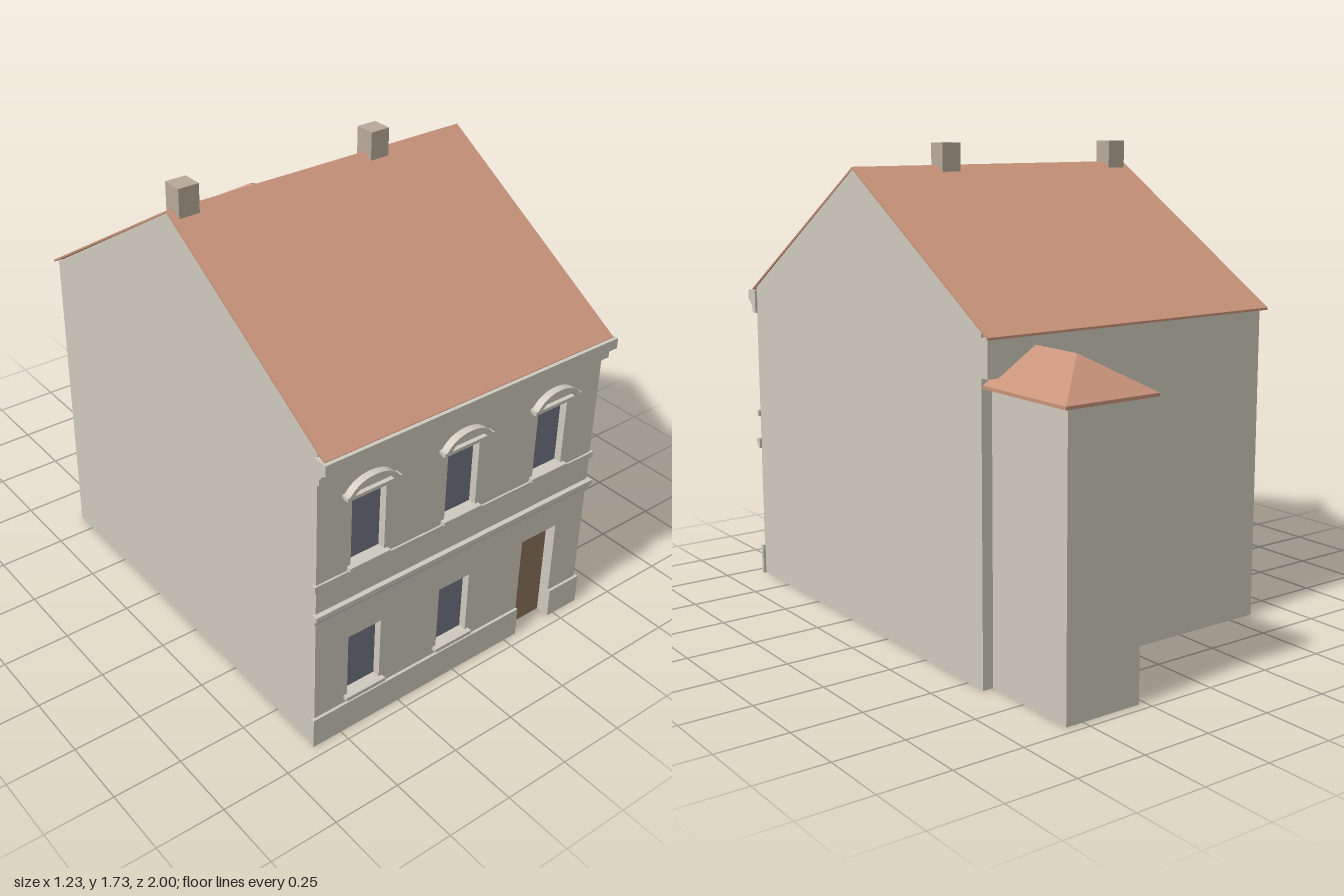
import * as THREE from 'three';

const material = (name, color) => {
  const m = new THREE.MeshStandardMaterial({ color });
  m.name = name;
  return m;
};

export function createModel() {
  const house = new THREE.Group();
  house.name = 'townHouse';
  const wall = material('stone render', 0xd0cabe);
  const tile = material('roof tile', 0xc8937a);
  const brick = material('chimney brick', 0xb8aa99);
  const glass = material('window glass', 0x727784);
  const wood = material('door wood', 0x8c755c);

  const add = (name, geometry, mat, parent = house) => {
    const mesh = new THREE.Mesh(geometry, mat);
    mesh.name = name;
    parent.add(mesh);
    return mesh;
  };
  // box given by its limits on each axis
  const box = (name, [x0, x1], [y0, y1], [z0, z1], mat, parent) => {
    const g = new THREE.BoxGeometry(x1 - x0, y1 - y0, z1 - z0);
    g.translate((x0 + x1) / 2, (y0 + y1) / 2, (z0 + z1) / 2);
    return add(name, g, mat, parent);
  };
  const outline = (pts) => new THREE.Shape(pts.map(([a, b]) => new THREE.Vector2(a, b)));
  const rect = (x0, x1, y0, y1) => outline([[x0, y0], [x1, y0], [x1, y1], [x0, y1]]);
  // (z, y) profile drawn out sideways to x = +-half
  const alongX = (name, profile, half, mat) => {
    const g = new THREE.ExtrudeGeometry(outline(profile), { depth: half * 2, bevelEnabled: false });
    g.translate(0, 0, -half);
    g.rotateY(-Math.PI / 2);
    return add(name, g, mat);
  };

  const W = 0.605, FRONT = 0.95;
  const columns = [-0.402, -0.012, 0.388];
  const door = { x0: 0.306, x1: 0.47, top: 0.41 };
  const windows = [];
  columns.forEach((x, i) => {
    windows.push({ x, y0: 0.687, y1: 0.935, hood: true });
    if (i < 2) windows.push({ x, y0: 0.146, y1: 0.39, hood: false });
  });

  // gabled body behind the front wall
  alongX('body', [[-0.585, 0], [0.905, 0], [0.905, 1.1], [FRONT, 1.1], [FRONT, 1.16],
    [0.18, 1.638], [-0.585, 1.16]], W, wall);

  // front wall with window holes and a door notch
  const facade = outline([[-W, 0], [door.x0, 0], [door.x0, door.top], [door.x1, door.top],
    [door.x1, 0], [W, 0], [W, 1.1], [-W, 1.1]]);
  for (const w of windows) facade.holes.push(rect(w.x - 0.068, w.x + 0.068, w.y0, w.y1));
  const facadeGeo = new THREE.ExtrudeGeometry(facade, { depth: FRONT - 0.905, bevelEnabled: false });
  facadeGeo.translate(0, 0, 0.905);
  add('frontWall', facadeGeo, wall);
  box('door', [door.x0, door.x1], [0, door.top], [0.903, 0.909], wood);

  // plinth on both sides of the door
  box('plinthRight', [-0.615, door.x0], [0, 0.115], [0.945, 0.96], wall);
  box('plinthLeft', [door.x1, 0.615], [0, 0.115], [0.945, 0.96], wall);

  // window hood: arched band with short flat ends
  const hood = new THREE.Shape();
  hood.moveTo(-0.107, 0.96);
  hood.lineTo(-0.085, 0.96);
  hood.quadraticCurveTo(-0.06, 1.002, 0, 1.004);
  hood.quadraticCurveTo(0.06, 1.002, 0.085, 0.96);
  hood.lineTo(0.107, 0.96);
  hood.lineTo(0.107, 0.971);
  hood.lineTo(0.097, 0.973);
  hood.quadraticCurveTo(0.065, 1.017, 0, 1.018);
  hood.quadraticCurveTo(-0.065, 1.017, -0.097, 0.973);
  hood.lineTo(-0.107, 0.971);

  windows.forEach((w) => {
    const unit = new THREE.Group();
    unit.name = w.hood ? 'upperWindow' : 'lowerWindow';
    house.add(unit);
    box('glass', [w.x - 0.068, w.x + 0.068], [w.y0, w.y1], [0.916, 0.922], glass, unit);
    box('sill', [w.x - 0.082, w.x + 0.082], [w.y0 - 0.014, w.y0], [0.92, 0.968], wall, unit);
    if (w.hood) {
      const g = new THREE.ExtrudeGeometry(hood, { depth: 0.03, bevelEnabled: false, curveSegments: 10 });
      g.translate(w.x, 0, 0.947);
      add('hoodArch', g, wall, unit);
      box('hoodShelf', [w.x - 0.098, w.x + 0.098], [0.948, 0.96], [0.945, 0.966], wall, unit);
    }
  });

  // moulded bands and the cornice across the front
  alongX('stringCourse', [[0.945, 0.518], [0.956, 0.518], [0.958, 0.53], [0.968, 0.538],
    [0.968, 0.555], [0.945, 0.555]], 0.615, wall);
  alongX('sillBand', [[0.945, 0.647], [0.957, 0.647], [0.957, 0.67], [0.945, 0.67]], 0.615, wall);
  alongX('cornice', [[0.945, 1.06], [0.97, 1.06], [0.97, 1.083], [0.978, 1.09], [0.984, 1.1],
    [1, 1.11], [1, 1.148], [0.945, 1.148]], 0.615, wall);

  // main roof as a thin folded sheet
  alongX('mainRoof', [[0.986, 1.15], [0.18, 1.646], [-0.622, 1.15], [-0.622, 1.142],
    [0.18, 1.638], [0.986, 1.142]], 0.607, tile);

  for (const x of [-0.545, 0.222])
    box('chimney', [x - 0.038, x + 0.038], [1.6, 1.725], [0.142, 0.216], brick);

  // rear annex, with a wall strip under the main eave
  box('annexWalls', [0.275, 0.565], [0, 0.99], [-0.965, -0.58], wall);
  box('eaveBlock', [0.275, W], [1.02, 1.146], [-0.618, -0.58], wall);
  box('annexEave', [0.24, 0.6], [0.986, 0.997], [-1, -0.585], tile);

  // annex roof: hipped at the back, ridge running into the house
  const A = [0.24, 0.997, -1], B = [0.6, 0.997, -1], C = [0.6, 0.997, -0.585], D = [0.24, 0.997, -0.585];
  const R = [0.42, 1.112, -0.825], S = [0.42, 1.112, -0.585];
  const hip = new THREE.BufferGeometry();
  const faces = [A, R, B, B, R, S, B, S, C, A, D, S, A, S, R, D, C, S];
  hip.setAttribute('position', new THREE.Float32BufferAttribute(faces.flat(), 3));
  hip.computeVertexNormals();
  add('annexRoof', hip, tile);

  return house;
}
